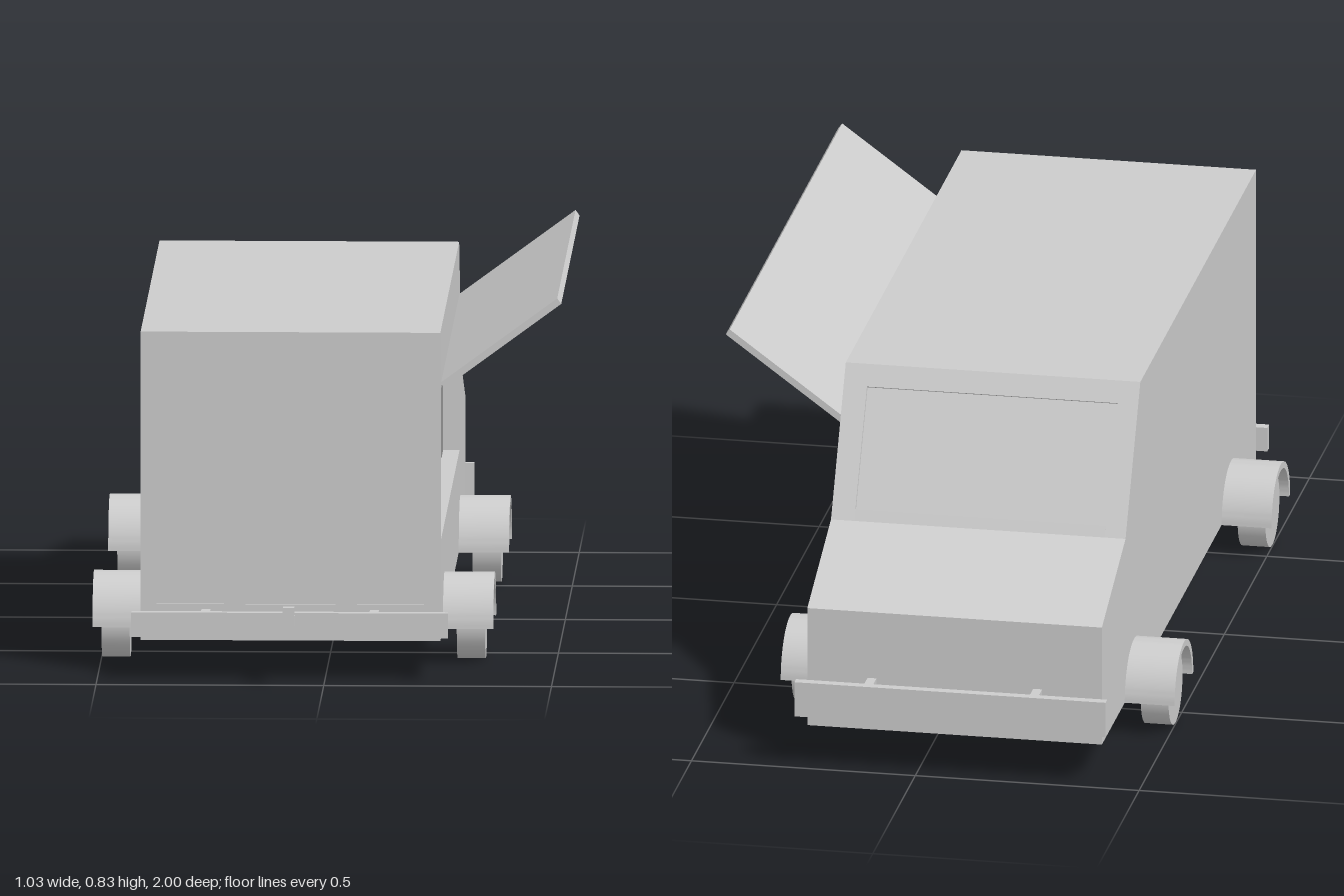
import * as THREE from 'three';
import { toCreasedNormals } from 'three/addons/utils/BufferGeometryUtils.js';

const material = new THREE.MeshStandardMaterial({ color: 0xcccccc });
const CX = -0.0775; // centre line of the van

export function createModel() {
  const van = new THREE.Group();
  van.name = 'foodTruck';

  const add = (name, geometry) => {
    const mesh = new THREE.Mesh(geometry, material);
    mesh.name = name;
    van.add(mesh);
    return mesh;
  };
  // Box given by its limits on each axis
  const box = (name, x0, x1, y0, y1, z0, z1) =>
    add(name, new THREE.BoxGeometry(x1 - x0, y1 - y0, z1 - z0)
      .translate((x0 + x1) / 2, (y0 + y1) / 2, (z0 + z1) / 2));
  // Side outline of [z, y] points, extruded from x0 to x1; holes wind the other way
  const toPoints = (list) => list.map(([z, y]) => new THREE.Vector2(-z, y));
  const slice = (name, x0, x1, outline, hole) => {
    const shape = new THREE.Shape(toPoints(outline));
    if (hole) shape.holes.push(new THREE.Path(toPoints(hole)));
    const g = new THREE.ExtrudeGeometry(shape, { depth: x1 - x0, bevelEnabled: false });
    return add(name, g.rotateY(Math.PI / 2).translate(x0, 0, 0));
  };

  // Body outline, with optional recesses for rear door and windshield
  const outline = (door, glass) => [
    [0.868, 0.08],
    ...(door ? [[0.868, 0.16], [0.862, 0.16], [0.862, 0.734], [0.868, 0.734]] : []),
    [0.868, 0.764], [-0.491, 0.764],
    ...(glass ? [[-0.516, 0.72], [-0.509, 0.716], [-0.645, 0.479], [-0.652, 0.483]] : []),
    [-0.665, 0.46], [-0.943, 0.354], [-0.943, 0.08],
  ];
  const cabin = [[-0.63, 0.15], [-0.755, 0.245], [-0.475, 0.735], [0.82, 0.735], [0.82, 0.15]];
  const hatch = [[-0.515, 0.298], [-0.515, 0.633], [0.805, 0.633], [0.805, 0.298]];

  // Body: closed right wall, hollow middle, left wall with serving hatch
  slice('rightWall', -0.406, -0.371, outline(false, false));
  slice('bodyRightEdge', -0.371, -0.36, outline(true, false), cabin);
  slice('bodyShell', -0.36, 0.20, outline(true, true), cabin);
  slice('bodyLeftEdge', 0.20, 0.216, outline(true, false), cabin);
  slice('leftWall', 0.216, 0.252, outline(false, false), hatch);

  // Raised awning over the hatch
  const awning = add('awning', new THREE.BoxGeometry(0.318, 0.015, 1.32));
  awning.position.set(0.383, 0.732, 0.145);
  awning.rotation.z = Math.atan2(0.188, 0.256);

  // Kitchen fittings along the right wall
  box('counter', -0.371, -0.12, 0.15, 0.362, -0.335, 0.635);
  box('overheadCabinet', -0.371, -0.15, 0.55, 0.735, -0.335, 0.635);
  box('griddle', -0.34, -0.15, 0.362, 0.371, 0.38, 0.62);
  box('sinkRim', -0.34, -0.15, 0.362, 0.371, -0.295, -0.055);
  box('sinkCover', -0.28, -0.21, 0.371, 0.38, -0.22, -0.15);
  add('faucetBase', new THREE.CylinderGeometry(0.015, 0.017, 0.01, 16)).position.set(-0.29, 0.367, 0.245);
  add('faucet', new THREE.TubeGeometry(new THREE.CatmullRomCurve3([
    new THREE.Vector3(-0.29, 0.362, 0.245), new THREE.Vector3(-0.29, 0.392, 0.245),
    new THREE.Vector3(-0.27, 0.407, 0.245), new THREE.Vector3(-0.25, 0.392, 0.245),
  ]), 16, 0.005, 8));

  // Wheels, axles and half-round fenders
  const arch = new THREE.Shape();
  arch.absarc(0, 0, 0.11, 0, Math.PI, false);
  arch.absarc(0, 0, 0.095, Math.PI, 0, true);
  const archGeometry = toCreasedNormals(
    new THREE.ExtrudeGeometry(arch, { depth: 0.114, bevelEnabled: false, curveSegments: 24 })
      .rotateY(Math.PI / 2).translate(-0.057, 0, 0), 0.5);
  const wheelGeometry = new THREE.CylinderGeometry(0.083, 0.083, 0.062, 40).rotateZ(Math.PI / 2);
  for (const [end, z] of [['rear', 0.573], ['front', -0.565]]) {
    const axle = add(end + 'Axle', new THREE.CylinderGeometry(0.02, 0.02, 0.73, 24).rotateZ(Math.PI / 2));
    axle.position.set(CX, 0.083, z);
    for (const side of [-1, 1]) {
      const tag = end + (side > 0 ? 'Left' : 'Right');
      add(tag + 'Wheel', wheelGeometry).position.set(CX + side * 0.39, 0.083, z);
      add(tag + 'Fender', archGeometry).position.set(CX + side * 0.383, 0.08, z);
    }
  }

  // Bumpers on short full-height brackets
  box('frontBumper', -0.425, 0.27, 0.12, 0.20, -1.0, -0.98);
  box('rearBumper', -0.425, 0.27, 0.094, 0.149, 0.90, 0.922);
  for (const x of [CX - 0.185, CX + 0.185]) {
    box('frontBracket', x - 0.01, x + 0.01, 0.12, 0.20, -0.98, -0.943);
    box('rearBracket', x - 0.01, x + 0.01, 0.094, 0.149, 0.868, 0.90);
  }

  // Tow hitch
  box('hitchBar', CX - 0.012, CX + 0.012, 0.123, 0.145, 0.922, 0.98);
  box('hitchPlate', CX - 0.0125, CX + 0.0125, 0.101, 0.172, 0.98, 1.0);

  return van;
}
